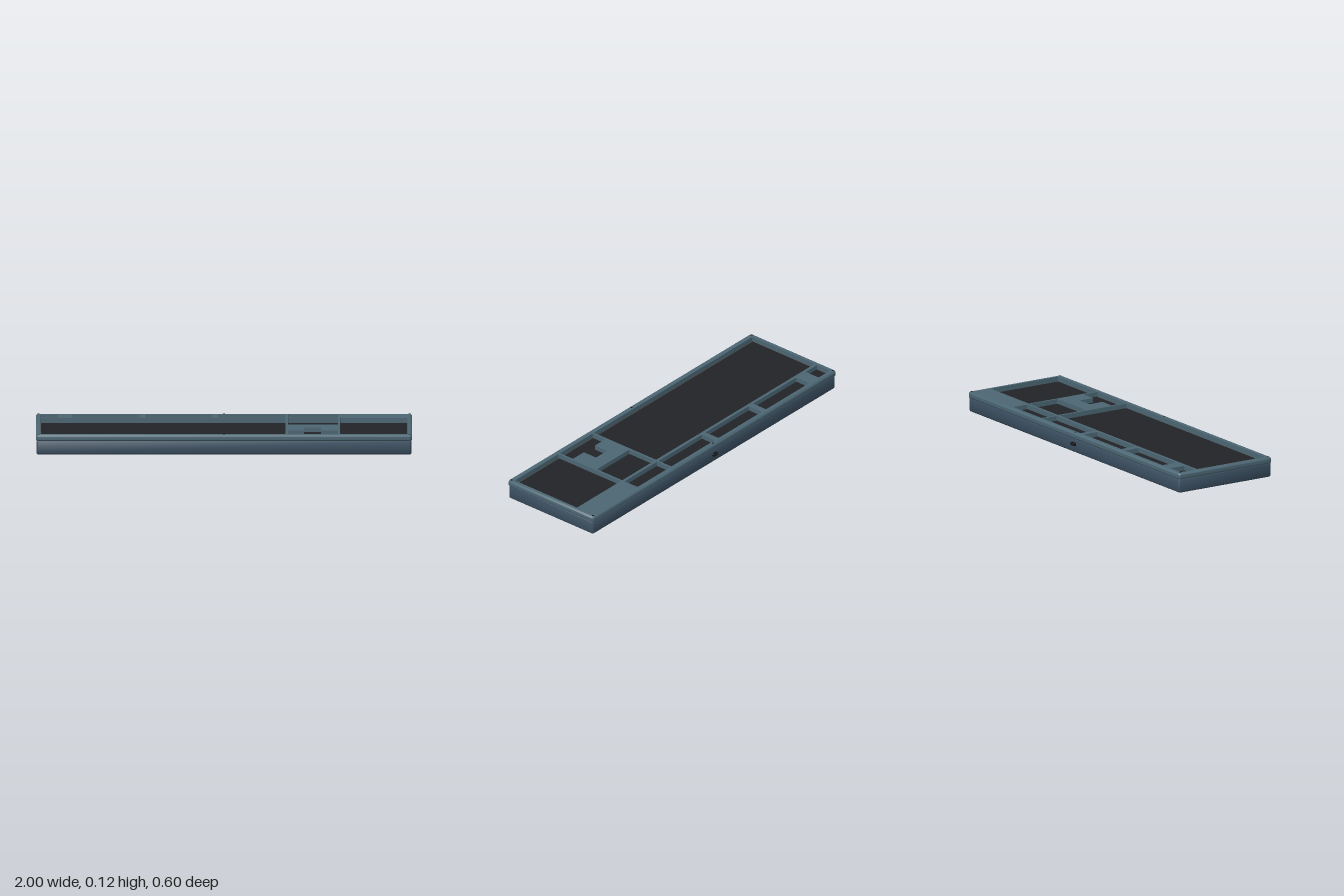
import * as THREE from 'three';
import { toCreasedNormals } from 'three/addons/utils/BufferGeometryUtils.js';
import { RoundedBoxGeometry } from 'three/addons/geometries/RoundedBoxGeometry.js';

const paint = (color) => new THREE.MeshStandardMaterial({ color });
const FRAME = paint(0x4b6673), CASE = paint(0x3b5062), DARK = paint(0x222326);
const BLACK = paint(0x151617), BRONZE = paint(0x5a4a38);
const ZC = 0.0035; // the case sits slightly forward of the port

function add(parent, name, geometry, material, x = 0, y = 0, z = 0) {
  const mesh = new THREE.Mesh(geometry, material);
  mesh.name = name;
  mesh.position.set(x, y, z);
  parent.add(mesh);
  return mesh;
}

// Rounded rectangle outline from its edges
function roundRect(x0, x1, y0, y1, r, Type = THREE.Shape) {
  const s = new Type();
  s.absarc(x1 - r, y1 - r, r, 0, Math.PI / 2);
  s.absarc(x0 + r, y1 - r, r, Math.PI / 2, Math.PI);
  s.absarc(x0 + r, y0 + r, r, Math.PI, Math.PI * 1.5);
  s.absarc(x1 - r, y0 + r, r, Math.PI * 1.5, Math.PI * 2);
  s.closePath();
  return s;
}

// Skin through stacked rounded rectangles; profile rows are [inset, y], going up
function loft(hx, hz, r, profile) {
  const pos = [], index = [], seg = 6, n = 4 * (seg + 1);
  for (const [inset, y] of profile) {
    const rr = Math.max(r - inset, 0.002);
    for (let c = 0; c < 4; c++) for (let i = 0; i <= seg; i++) {
      const a = (c + i / seg) * Math.PI / 2;
      const sx = c === 0 || c === 3 ? 1 : -1, sz = c < 2 ? 1 : -1;
      pos.push(sx * (hx - inset - rr) + rr * Math.cos(a), y, sz * (hz - inset - rr) + rr * Math.sin(a));
    }
  }
  for (let j = 0; j < profile.length - 1; j++) for (let i = 0; i < n; i++) {
    const a = j * n + i, b = j * n + (i + 1) % n;
    index.push(a, a + n, b, b, a + n, b + n);
  }
  const g = new THREE.BufferGeometry();
  g.setAttribute('position', new THREE.Float32BufferAttribute(pos, 3));
  g.setIndex(index);
  return toCreasedNormals(g, 0.7);
}

// Rounded edge rows: quarter arc of radius r at the bottom or the top
const arcRows = (r, y, top) => Array.from({ length: 6 }, (_, i) => {
  const a = (i / 5) * Math.PI / 2;
  return top ? [r - r * Math.cos(a), y - r + r * Math.sin(a)] : [r - r * Math.sin(a), y + r - r * Math.cos(a)];
});

export function createModel() {
  const model = new THREE.Group();
  model.name = 'keyboardCase';

  // Lower tray with closed underside
  add(model, 'tray', loft(0.997, 0.2955, 0.014, [...arcRows(0.009, 0.01, false), ...arcRows(0.003, 0.084, true)]), CASE, 0, 0, ZC);
  add(model, 'bottomPlate', new THREE.BoxGeometry(1.978, 0.004, 0.577), BLACK, 0, 0.0118, ZC);

  // Top frame: rounded outer rim
  const rim = [[0.03, 0.083], ...arcRows(0.009, 0.083, false), ...arcRows(0.011, 0.118, true)];
  add(model, 'frameRim', loft(1, 0.2985, 0.016, rim), FRAME, 0, 0, ZC);

  // Top frame: flat deck with key openings, given as x0, x1, z0, z1
  const deck = roundRect(-0.989, 0.989, -0.2875 - ZC, 0.2875 - ZC, 0.005);
  const openings = [
    [-0.975, -0.882, -0.27, -0.18],
    [-0.805, -0.45, -0.27, -0.18],
    [-0.415, -0.06, -0.27, -0.18],
    [-0.03, 0.327, -0.27, -0.18],
    [0.34, 0.605, -0.27, -0.18],
    [-0.975, 0.327, -0.163, 0.27],
    [0.34, 0.605, -0.163, 0.013],
    [0.617, 0.976, -0.163, 0.27],
  ];
  for (const [x0, x1, z0, z1] of openings) deck.holes.push(roundRect(x0, x1, -z1, -z0, 0.005, THREE.Path));

  // Arrow key opening, an upside-down T
  const arrows = [[0.34, 0.27], [0.605, 0.27], [0.605, 0.18], [0.516, 0.18],
    [0.516, 0.095], [0.425, 0.095], [0.425, 0.18], [0.34, 0.18]];
  deck.holes.push(new THREE.Path(arrows.map(([x, z]) => new THREE.Vector2(x, -z))));
  const deckGeometry = new THREE.ExtrudeGeometry(deck, { depth: 0.033, bevelEnabled: false, curveSegments: 4 });
  deckGeometry.rotateX(-Math.PI / 2);
  add(model, 'frameDeck', deckGeometry, FRAME, 0, 0.085, 0);

  // Plates seen through the openings
  add(model, 'mountingPlate', new THREE.BoxGeometry(1.96, 0.008, 0.56), BRONZE, 0, 0.087, 0);
  add(model, 'switchPlate', new THREE.BoxGeometry(1.943, 0.006, 0.532), DARK, 0, 0.0895, 0);

  // Screws along the frame, in front and behind
  const screw = new THREE.CylinderGeometry(0.005, 0.006, 0.004, 16);
  for (const x of [-0.985, 0, 0.985]) for (const z of [-0.281, 0.286])
    add(model, 'screw', screw, BLACK, x, 0.1175, z);

  // Rubber feet
  const foot = new RoundedBoxGeometry(0.115, 0.014, 0.044, 3, 0.004);
  for (const x of [-0.782, 0, 0.782]) for (const z of [-0.182, 0.189])
    add(model, 'foot', foot, BLACK, x, 0.007, z);

  // Cable port at the back: a hollow pill with a tongue
  const port = new THREE.Group();
  port.name = 'cablePort';
  port.position.set(0, 0.056, -0.302);
  const shell = roundRect(-0.02, 0.02, -0.009, 0.009, 0.0089);
  shell.holes.push(roundRect(-0.0155, 0.0155, -0.005, 0.005, 0.0049, THREE.Path));
  add(port, 'portShell', new THREE.ExtrudeGeometry(shell, { depth: 0.014, bevelEnabled: false, curveSegments: 8 }), BLACK);
  add(port, 'portTongue', new THREE.BoxGeometry(0.02, 0.003, 0.01), DARK, 0, 0, 0.008);
  model.add(port);

  return model;
}
